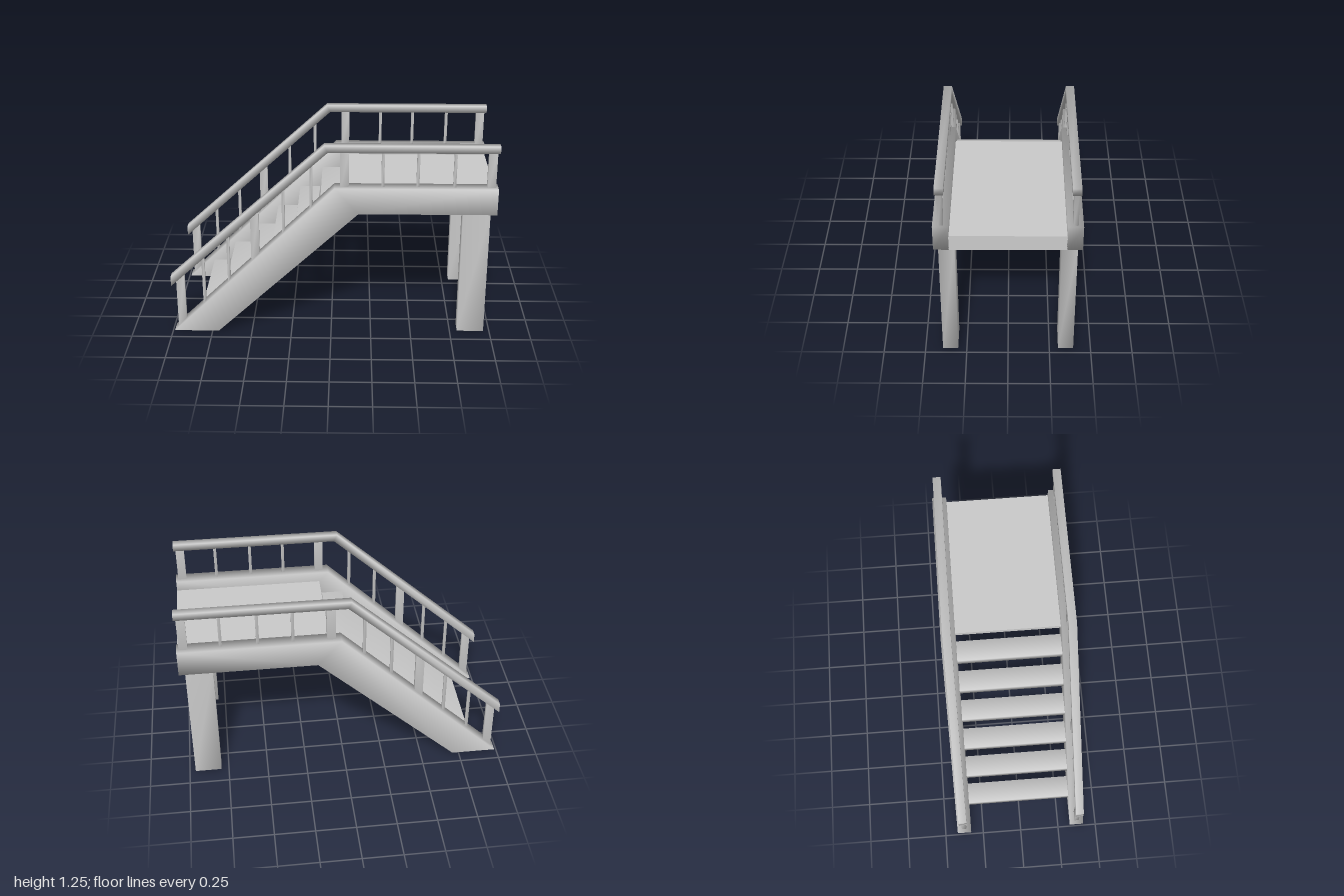
import * as THREE from 'three';
import { mergeVertices } from 'three/addons/utils/BufferGeometryUtils.js';

const material = new THREE.MeshStandardMaterial({ color: 0xcccccc });

// Share corner normals so the timber shades softly around its edges
function soften(geometry) {
  geometry.deleteAttribute('normal');
  geometry.deleteAttribute('uv');
  const merged = mergeVertices(geometry, 1e-4);
  merged.computeVertexNormals();
  return merged;
}

function addMesh(parent, name, geometry) {
  const mesh = new THREE.Mesh(geometry, material);
  mesh.name = name;
  parent.add(mesh);
  return mesh;
}

// Box given by its limits on each axis
function box(x0, x1, y0, y1, z0, z1) {
  return new THREE.BoxGeometry(x1 - x0, y1 - y0, z1 - z0)
    .translate((x0 + x1) / 2, (y0 + y1) / 2, (z0 + z1) / 2);
}

// Side profile in x and y, extruded between two z limits
function plank(points, z0, z1) {
  const shape = new THREE.Shape(points.map(([x, y]) => new THREE.Vector2(x, y)));
  return new THREE.ExtrudeGeometry(shape, { depth: z1 - z0, bevelEnabled: false }).translate(0, 0, z0);
}

// Heights of the stringer top and the handrail underside
const stringerTop = (x) => Math.min(0.98, 0.97 * (x + 0.99));
const railBottom = (x) => Math.min(1.2, 0.305 + 0.913 * (x + 1));

function buildSide(name, s) {
  const side = new THREE.Group();
  side.name = name;
  const span = (a, b) => (s > 0 ? [a, b] : [-b, -a]);

  // Sloping stringer that bends into the platform edge beam
  addMesh(side, 'stringer', soften(plank(
    [[-0.99, 0], [-0.71, 0], [0.165, 0.815], [1, 0.815], [1, 0.98], [0.02, 0.98]],
    ...span(0.33, 0.42))));

  // Handrail
  addMesh(side, 'handrail', soften(plank(
    [[-1, 0.305], [-0.02, 1.2], [1, 1.2], [1, 1.245], [-0.04, 1.245], [-1, 0.37]],
    ...span(0.35, 0.4))));

  // Wide posts and thin balusters, their ends cut along the slope
  const upright = (partName, x, width, depth) => {
    const a = x - width / 2;
    const b = x + width / 2;
    const foot = (px) => Math.max(0.002, stringerTop(px) - 0.03);
    const head = (px) => railBottom(px) + 0.01;
    addMesh(side, partName, soften(plank(
      [[a, foot(a)], [b, foot(b)], [b, head(b)], [a, head(a)]],
      ...span(0.375 - depth / 2, 0.375 + depth / 2))));
  };
  for (const x of [-0.942, -0.467, 0.08, 0.96]) upright('railPost', x, 0.052, 0.03);
  for (const x of [-0.795, -0.635, -0.29, -0.12, 0.31, 0.52, 0.74]) upright('baluster', x, 0.018, 0.018);

  // Platform leg
  addMesh(side, 'leg', soften(box(0.797, 0.963, 0, 0.82, ...span(0.303, 0.395))));
  return side;
}

export function createModel() {
  const model = new THREE.Group();
  model.name = 'staircase';

  model.add(buildSide('leftSide', 1), buildSide('rightSide', -1));

  // Platform deck, open underneath, closed by a board at the far end
  addMesh(model, 'platformDeck', box(0.08, 1, 0.885, 0.915, -0.332, 0.332));
  addMesh(model, 'endBoard', box(0.97, 1, 0.815, 0.9, -0.332, 0.332));

  // Open treads
  for (let i = 0; i < 6; i++) {
    const x = -0.82 + 0.15 * i;
    const y = 0.075 + 0.139 * i;
    addMesh(model, 'tread', soften(box(x, x + 0.132, y, y + 0.053, -0.335, 0.335)));
  }
  return model;
}
